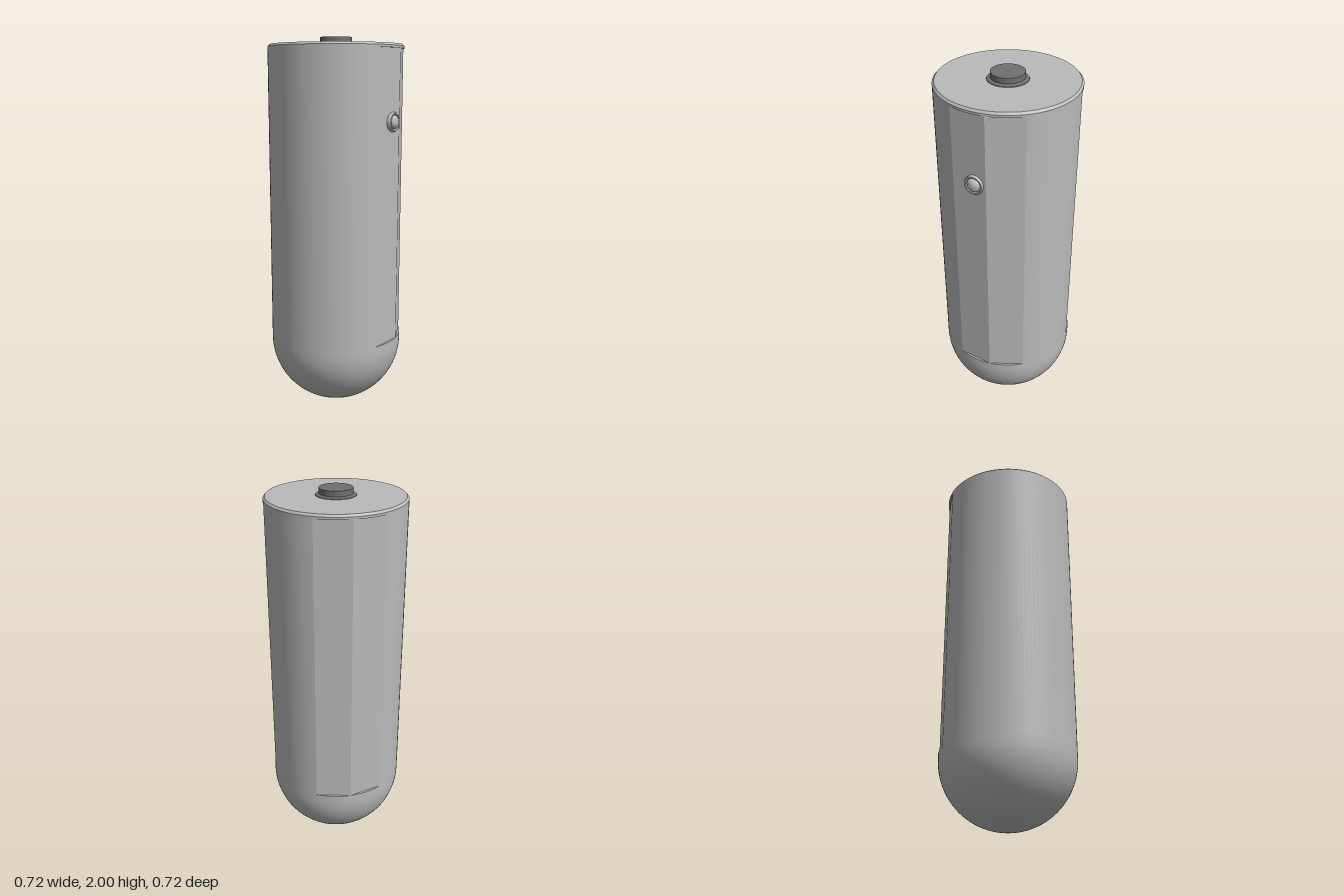
import * as THREE from 'three';
import { toCreasedNormals } from 'three/addons/utils/BufferGeometryUtils.js';

const R = 0.36, LOW = 0.39, HIGH = 1.94;
const DEG = Math.PI / 180;

// Revolves [radius, height] pairs (listed bottom to top), keeping sharp edges
function turned(profile, segments = 96, start = 0, sweep = 360, crease = 0.4) {
  const points = profile.map(([r, y]) => new THREE.Vector2(r, y));
  const geo = new THREE.LatheGeometry(points, segments, start * DEG, sweep * DEG);
  return toCreasedNormals(geo, crease);
}

export function createModel() {
  const model = new THREE.Group();
  const bodyGrey = new THREE.MeshStandardMaterial({ color: 0xbababa });
  bodyGrey.name = 'bodyGrey';
  const darkGrey = new THREE.MeshStandardMaterial({ color: 0x707070 });
  darkGrey.name = 'darkGrey';

  const add = (name, geometry, material) => {
    const mesh = new THREE.Mesh(geometry, material);
    mesh.name = name;
    model.add(mesh);
    return mesh;
  };

  // Rounded bottom, closed on top so it forms a ledge under the flat panels
  const dome = [];
  for (let i = 0; i <= 24; i++) {
    const a = (i / 24) * Math.PI / 2;
    dome.push([R * Math.sin(a), R - R * Math.cos(a)]);
  }
  add('roundedBottom', turned([...dome, [R, LOW], [0, LOW]]), bodyGrey);

  // Tube wall: smooth at the front and at the middle of the back
  const wall = [[R, LOW], [R, HIGH]];
  add('frontWall', turned(wall, 48, -90, 180), bodyGrey);
  add('backWall', turned(wall, 16, 150, 60), bodyGrey);

  // Flat panels on the two rear quarters
  for (const [name, start] of [['leftPanels', 90], ['rightPanels', 210]]) {
    add(name, turned(wall, 2, start, 60, 0.1), bodyGrey);
  }

  // Lid with a chamfered rim
  add('lid', turned([[0, HIGH], [R, HIGH], [R, 1.952], [0.35, 1.963], [0, 1.963]]), bodyGrey);

  // Button on the lid, with a sloped foot
  add('topButton', turned([[0.104, 1.96], [0.102, 1.966], [0.085, 1.972], [0.085, 2], [0, 2]], 64), darkGrey);

  // Side fitting: a collar around a small blunt stud
  const fitting = add('sideFitting', turned([
    [0.05, -0.01], [0.05, 0.014], [0.047, 0.018], [0.04, 0.018], [0.036, 0.01],
    [0.034, 0.016], [0.026, 0.026], [0.014, 0.031], [0, 0.032],
  ], 40, 0, 360, 0.7), bodyGrey);
  const outward = new THREE.Vector3(Math.cos(20 * DEG), 0, -Math.sin(20 * DEG));
  fitting.quaternion.setFromUnitVectors(new THREE.Vector3(0, 1, 0), outward);
  fitting.position.copy(outward).multiplyScalar(0.348).setY(1.57);

  return model;
}
